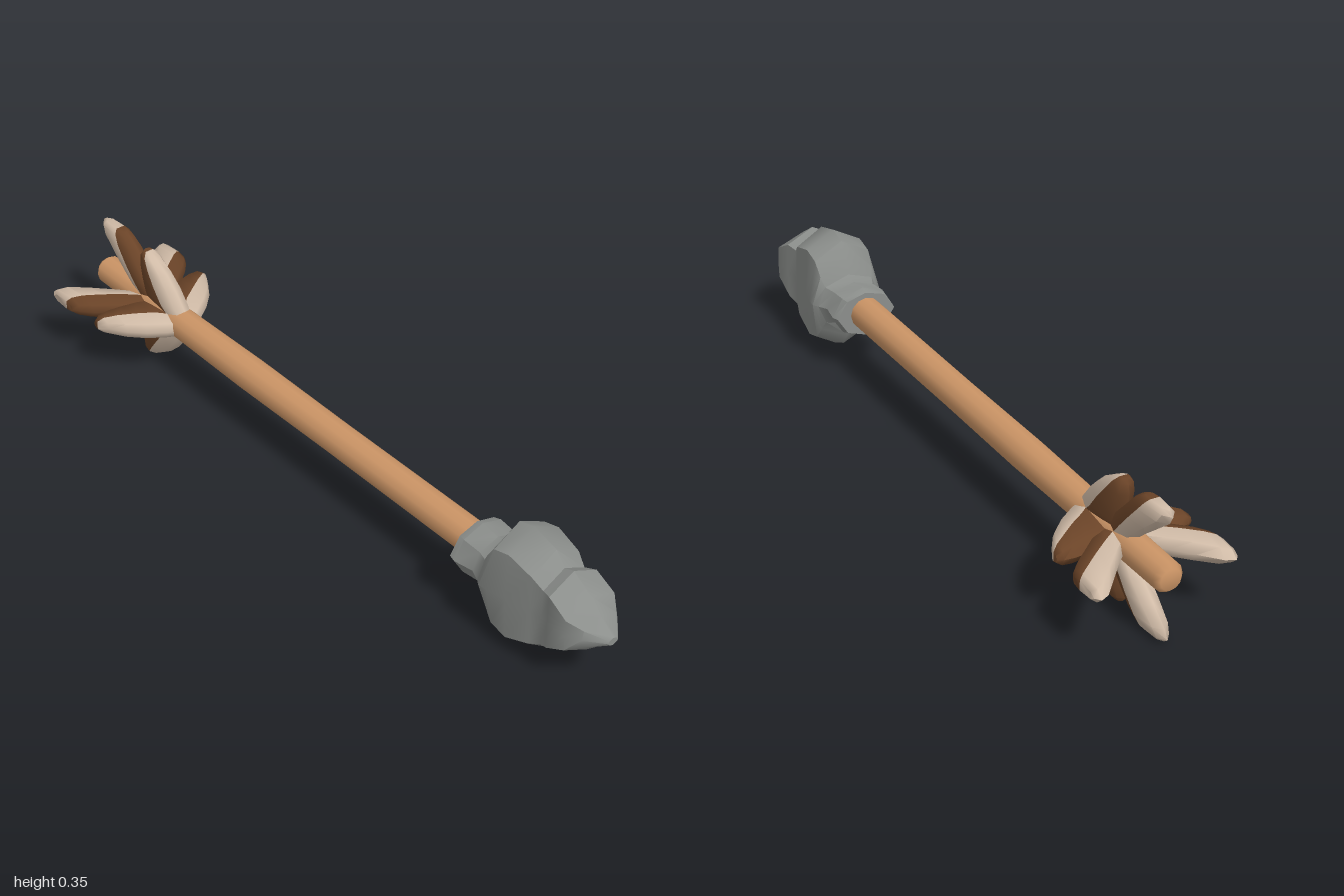
import * as THREE from 'three';
import { toCreasedNormals } from 'three/addons/utils/BufferGeometryUtils.js';

const paint = (name, color) => {
  const m = new THREE.MeshStandardMaterial({ color });
  m.name = name;
  return m;
};

// Joins closed rings into a solid; ring points mirror about point 0 and point n/2.
// slotOf(column) picks the material slot of each column and its strip of the caps.
function loft(rings, slotOf, crease) {
  const n = rings[0].length, last = rings.length - 1;
  const faces = [[], []];
  const tri = (slot, a, b, c) => {
    if (a !== b && b !== c && a !== c) faces[slot].push(a, b, c);
  };
  for (let j = 0; j < n; j++) {
    const k = (j + 1) % n, slot = slotOf(j);
    for (let i = 0; i < last; i++) {
      const a = i * n, d = a + n;
      tri(slot, a + j, d + j, d + k);
      tri(slot, a + j, d + k, a + k);
    }
  }
  for (let j = 0; j < n / 2; j++) {
    const slot = slotOf(j), p = j + 1, q = n - j - 1, r = (n - j) % n, e = last * n;
    tri(slot, j, p, q);
    tri(slot, j, q, r);
    tri(slot, e + j, e + q, e + p);
    tri(slot, e + j, e + r, e + q);
  }
  const geo = new THREE.BufferGeometry();
  geo.setAttribute('position', new THREE.Float32BufferAttribute(rings.flat(2), 3));
  geo.setIndex([...faces[0], ...faces[1]]);
  geo.addGroup(0, faces[0].length, 0);
  geo.addGroup(faces[0].length, faces[1].length, 1);
  return toCreasedNormals(geo, crease);
}

// Feather rows: [radius, front x, colour change x, back x, half thickness]
const FRONT_FEATHER = [
  [0.02, -0.62, -0.67, -0.80, 0.030],
  [0.05, -0.64, -0.70, -0.805, 0.034],
  [0.09, -0.672, -0.73, -0.81, 0.034],
  [0.125, -0.71, -0.758, -0.815, 0.030],
  [0.152, -0.755, -0.778, -0.812, 0.024],
  [0.165, -0.782, -0.788, -0.803, 0.012],
];
const BACK_FEATHER = [
  [0.02, -0.72, -0.79, -0.84, 0.028],
  [0.06, -0.765, -0.825, -0.885, 0.032],
  [0.10, -0.805, -0.86, -0.935, 0.032],
  [0.14, -0.843, -0.895, -0.985, 0.029],
  [0.162, -0.87, -0.912, -0.997, 0.023],
  [0.173, -0.89, -0.92, -0.982, 0.013],
];

function featherGeometry(rows, frontSlot) {
  const rings = rows.map(([r, front, cut, back, w]) => {
    const half = [
      [front + (cut - front) * 0.2, 0.65],
      [cut, 1],
      [cut + (back - cut) * 0.75, 0.75],
    ];
    return [
      [front, r, 0],
      ...half.map(([x, t]) => [x, r, t * w]),
      [back, r, 0],
      ...half.reverse().map(([x, t]) => [x, r, -t * w]),
    ];
  });
  return loft(rings, j => (j < 2 || j > 5 ? frontSlot : 1 - frontSlot), 1.0);
}

// Head rows: [x, top, bottom, upper shoulder, lower shoulder, shoulder z, middle z]
const HEAD = [
  [0.53, 0.238, 0.112, 0.222, 0.13, 0.055, 0.085],
  [0.55, 0.245, 0.106, 0.225, 0.125, 0.06, 0.09],
  [0.605, 0.238, 0.112, 0.22, 0.13, 0.058, 0.08],
  [0.635, 0.248, 0.10, 0.225, 0.12, 0.07, 0.092],
  [0.65, 0.29, 0.058, 0.25, 0.095, 0.077, 0.102],
  [0.675, 0.332, 0.022, 0.288, 0.06, 0.08, 0.10],
  [0.725, 0.346, 0.0, 0.302, 0.047, 0.08, 0.087],
  [0.80, 0.325, 0.02, 0.28, 0.075, 0.075, 0.075],
  [0.83, 0.289, 0.035, 0.255, 0.09, 0.066, 0.068],
  [0.86, 0.30, 0.053, 0.262, 0.105, 0.076, 0.078],
  [0.92, 0.262, 0.098, 0.23, 0.14, 0.078, 0.08],
  [0.955, 0.228, 0.132, 0.208, 0.158, 0.052, 0.058],
  [1.0, 0.19, 0.168, 0.185, 0.173, 0.012, 0.016],
];

export function createModel() {
  const wood = paint('wood', 0xcc9566);
  const stone = paint('stone', 0x8b8e8b);
  const cream = paint('cream feather', 0xd0bba7);
  const brown = paint('brown feather', 0x6b4428);
  const axisY = 0.176;
  const model = new THREE.Group();
  model.name = 'arrow';

  // Wooden shaft with a rounded tail
  const profile = [[0, -1], [0.028, -1], [0.04, -0.985], [0.043, -0.6], [0.046, -0.35], [0.044, 0], [0.045, 0.58]];
  const shaft = new THREE.Mesh(
    new THREE.LatheGeometry(profile.map(([r, y]) => new THREE.Vector2(r, y)), 12), wood);
  shaft.name = 'shaft';
  shaft.rotation.z = -Math.PI / 2;
  shaft.position.y = axisY + 0.002;
  model.add(shaft);

  // Chipped stone head with its collar
  const rings = HEAD.map(([x, top, bottom, up, low, sz, mz]) => {
    const mid = (up + low) / 2;
    return [
      [x, top, 0], [x, up, -sz], [x, mid, -mz], [x, low, -sz],
      [x, bottom, 0], [x, low, sz], [x, mid, mz], [x, up, sz],
    ];
  });
  const head = new THREE.Mesh(loft(rings, () => 0, 0.7), [stone, stone]);
  head.name = 'arrowhead';
  model.add(head);

  // Four fins, each of two swept feathers
  const frontGeo = featherGeometry(FRONT_FEATHER, 0);
  const backGeo = featherGeometry(BACK_FEATHER, 1);
  ['top', 'left', 'bottom', 'right'].forEach((side, i) => {
    const fin = new THREE.Group();
    fin.name = side + 'Fin';
    const front = new THREE.Mesh(frontGeo, [cream, brown]);
    front.name = 'frontFeather';
    const back = new THREE.Mesh(backGeo, [cream, brown]);
    back.name = 'backFeather';
    fin.add(front, back);
    fin.position.y = axisY;
    fin.rotation.x = i * Math.PI / 2;
    fin.scale.y = i % 2 ? 1.1 : 1;
    model.add(fin);
  });
  return model;
}
